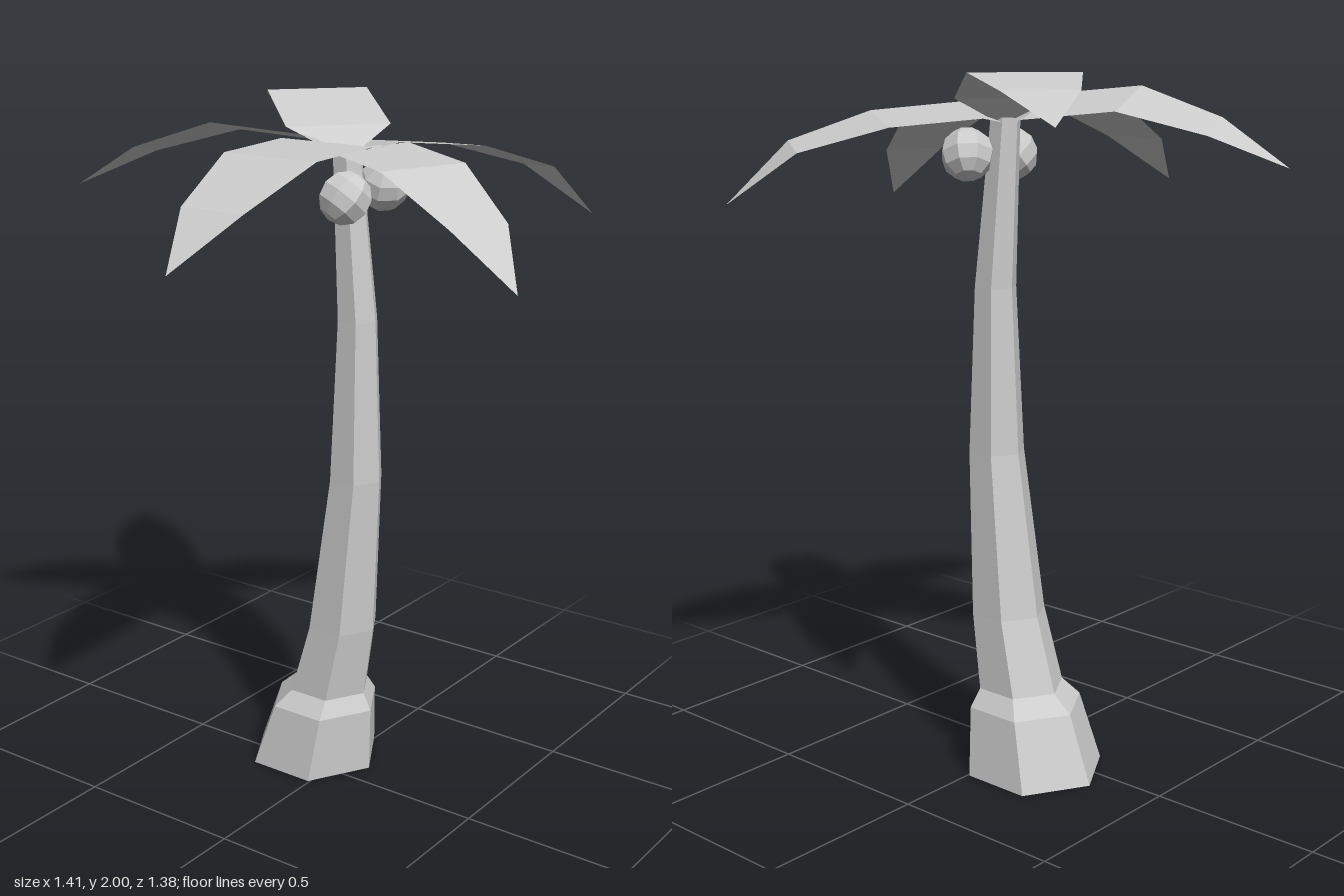
import * as THREE from 'three';

// Strip surface between successive rows of points; optional closed rows
function loft(rows, closed) {
  const n = rows[0].length, pos = rows.flat(2), idx = [];
  for (let r = 0; r < rows.length - 1; r++) {
    for (let i = 0; i < (closed ? n : n - 1); i++) {
      const j = (i + 1) % n;
      const a = r * n + i, b = r * n + j, c = a + n, d = b + n;
      idx.push(a, c, b, b, c, d);
    }
  }
  const g = new THREE.BufferGeometry();
  g.setAttribute('position', new THREE.Float32BufferAttribute(pos, 3));
  g.setIndex(idx);
  const flat = g.toNonIndexed();
  flat.computeVertexNormals();
  return flat;
}

export function createModel() {
  const model = new THREE.Group();
  model.name = 'palmTree';
  const grey = new THREE.MeshStandardMaterial({ color: 0xcccccc, flatShading: true, side: THREE.DoubleSide });
  grey.name = 'plain grey';
  const add = (name, geometry) => {
    const mesh = new THREE.Mesh(geometry, grey);
    mesh.name = name;
    model.add(mesh);
    return mesh;
  };

  // Trunk: open six-sided tube, [height, centre x, centre z, radius]
  const rings = [
    [0, -0.107, -0.078, 0.203], [0.195, -0.067, -0.076, 0.168], [0.245, -0.052, -0.078, 0.126],
    [0.46, -0.003, -0.077, 0.109], [0.93, 0.045, -0.073, 0.082], [1.4, 0.05, -0.07, 0.061],
    [1.87, 0.018, -0.062, 0.043],
  ];
  add('trunk', loft(rings.map(([y, cx, cz, r]) =>
    Array.from({ length: 6 }, (_, i) => {
      const a = -i * Math.PI / 3;
      return [cx + r * Math.cos(a), y, cz + r * Math.sin(a)];
    })), true));

  // Leaves: flat bent strips fanned around the crown
  const crown = [0.0125, -0.07];
  const halfWidths = [0.03, 0.15, 0.148, 0.099, 0];
  const leaves = [
    { name: 'frontLeaf', angle: 0, tip: 0.76, heights: [1.86, 1.9, 1.89, 1.785, 1.65], roll: 0, width: 1.02 },
    { name: 'leftLeaf', angle: 70, tip: 0.735, heights: [1.86, 1.89, 1.865, 1.745, 1.6], roll: 0, width: 0.93 },
    { name: 'backLeftLeaf', angle: 145, tip: 0.76, heights: [1.86, 1.89, 1.87, 1.8, 1.65], roll: -0.015, width: 1 },
    { name: 'backRightLeaf', angle: -130, tip: 0.785, heights: [1.86, 1.925, 2, 1.965, 1.89], roll: 0, width: 1 },
    { name: 'rightLeaf', angle: -66.4, tip: 0.78, heights: [1.86, 1.9, 1.925, 1.855, 1.75], roll: 0.028, width: 1 },
  ];
  for (const { name, angle, tip, heights, roll, width } of leaves) {
    const a = THREE.MathUtils.degToRad(angle), s = Math.sin(a), c = Math.cos(a);
    const reach = [0.015, 0.095, 0.345, 0.58, tip];
    add(name, loft(reach.map((d, i) => [-1, 1].map((side) => {
      const w = side * halfWidths[i] * width;
      return [crown[0] + s * d + c * w, heights[i] + roll * w / 0.15, crown[1] + c * d - s * w];
    })), false));
  }

  // Coconuts hanging under the crown
  for (const [name, x, y, z, tilt] of [
    ['backCoconut', 0.08, 1.77, -0.15, 0.5],
    ['frontCoconut', 0.088, 1.76, 0.045, -0.5],
  ]) {
    const nut = add(name, new THREE.SphereGeometry(0.074, 8, 6));
    nut.position.set(x, y, z);
    nut.rotation.set(tilt, 0.3, -0.4);
  }
  return model;
}
